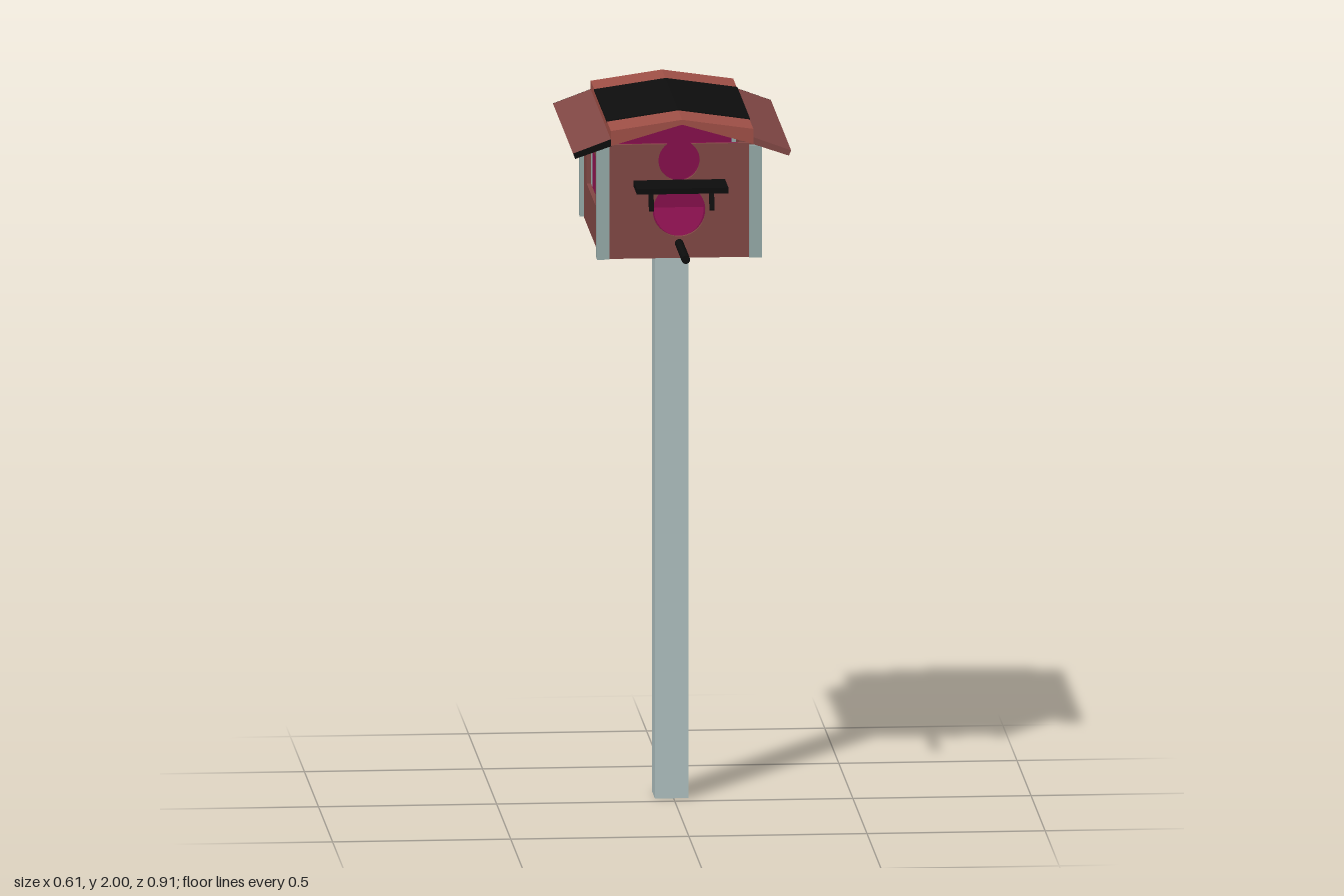
import * as THREE from 'three';

const paint = (name, color) => {
  const m = new THREE.MeshStandardMaterial({ color });
  m.name = name;
  return m;
};

export function createModel() {
  const wallBrown = paint('wall brown', 0x824845);
  const roofRed = paint('roof red', 0xa05047);
  const magenta = paint('interior magenta', 0x86104c);
  const black = paint('black', 0x0d0d0d);
  const postGrey = paint('post grey', 0xafc1c0);
  const trimGrey = paint('trim grey', 0x97aba9);

  const model = new THREE.Group();
  const add = (parent, name, geo, mat, x = 0, y = 0, z = 0) => {
    const mesh = new THREE.Mesh(geo, mat);
    mesh.name = name;
    mesh.position.set(x, y, z);
    parent.add(mesh);
    return mesh;
  };
  const box = (w, h, d) => new THREE.BoxGeometry(w, h, d);
  const polygon = (pts) => new THREE.Shape(pts.map(([x, y]) => new THREE.Vector2(x, y)));
  const extrude = (shape, depth) =>
    new THREE.ExtrudeGeometry(shape, { depth, bevelEnabled: false, curveSegments: 20 });

  const house = new THREE.Group();
  house.name = 'house';
  house.position.x = -0.005;
  model.add(house);

  const bottom = 1.595, top = 1.92, front = 0.22, back = -0.41, side = 0.22;
  const midZ = (front + back) / 2, length = front - back, height = top - bottom;

  // Pole
  add(house, 'pole', box(0.095, bottom, 0.1), postGrey, 0, bottom / 2, -0.092);

  // Floor with its inner lining
  add(house, 'floor', box(side * 2, 0.015, length), wallBrown, 0, bottom + 0.0075, midZ);
  add(house, 'floorLining', box(side * 2 - 0.03, 0.006, length - 0.03), magenta, 0, bottom + 0.018, midZ);

  // Front wall: round entrance and a round notch open at the top
  const frontShape = () => {
    const s = new THREE.Shape();
    const r = 0.058, cy = 1.873, a = Math.asin((top - cy) / r);
    s.moveTo(-side, bottom);
    s.lineTo(side, bottom);
    s.lineTo(side, top);
    s.lineTo(r * Math.cos(a), top);
    s.absarc(0, cy, r, a, Math.PI - a, true);
    s.lineTo(-side, top);
    s.closePath();
    const hole = new THREE.Path();
    hole.absarc(0, 1.73, 0.074, 0, Math.PI * 2, true);
    s.holes.push(hole);
    return s;
  };
  add(house, 'frontWall', extrude(frontShape(), 0.012), wallBrown, 0, 0, front - 0.012);
  const frontLining = add(house, 'frontLining', extrude(frontShape(), 0.005), magenta, 0, 0, front - 0.017);
  frontLining.scale.x = 0.94;

  // Back wall
  add(house, 'backWall', box(side * 2, height, 0.012), wallBrown, 0, bottom + height / 2, back + 0.006);
  add(house, 'backLining', box(side * 2 - 0.03, height - 0.002, 0.005), magenta, 0, bottom + height / 2, back + 0.0145);

  // Side walls with rectangular windows
  const winFront = 0.03, winBack = -0.28, sill = 1.71, head = 1.85;
  const sideShape = polygon([[back, bottom], [front, bottom], [front, top], [back, top]]);
  sideShape.holes.push(new THREE.Path([
    [winBack, sill], [winBack, head], [winFront, head], [winFront, sill],
  ].map(([x, y]) => new THREE.Vector2(x, y))));
  const sideGeo = extrude(sideShape, 0.012).rotateY(-Math.PI / 2);
  for (const s of [-1, 1]) {
    add(house, 'sideWall', sideGeo, wallBrown, s > 0 ? side : -side + 0.012, 0, 0);
    add(house, 'windowJamb', box(0.014, head - sill, 0.005), magenta, s * (side - 0.007), (sill + head) / 2, winFront);
    // Corner trims
    for (const z of [front - 0.0075, back + 0.0075]) {
      add(house, 'cornerTrim', box(0.035, height - 0.005, 0.035), trimGrey, s * 0.2135, bottom + height / 2 - 0.0025, z);
    }
  }

  // Roof: shallow gable cap in the middle
  const roofFront = 0.26, roofBack = -0.457, roofLen = roofFront - roofBack;
  const roof = new THREE.Group();
  roof.name = 'roof';
  model.add(roof);
  const cap = polygon([[-0.2, 1.925], [0, 1.983], [0.2, 1.925], [0.2, 1.968], [0, 1.997], [-0.2, 1.968]]);
  add(roof, 'roofCap', extrude(cap, roofLen), roofRed, 0, 0, roofBack);

  // Dark panel lying on the cap
  const panel = polygon([[-0.201, 1.966], [0, 1.995], [0.201, 1.966], [0.201, 1.971], [0, 2], [-0.201, 1.971]]);
  add(roof, 'roofPanel', extrude(panel, 0.447), black, 0, 0, -0.322);

  // Steeper eaves, three of their ends capped in black
  for (const s of [-1, 1]) {
    const pts = [[0.198, 1.925], [0.3, 1.89], [0.306, 1.905], [0.198, 1.945]].map(([x, y]) => [s * x, y]);
    const eave = polygon(pts);
    add(roof, 'eave', extrude(eave, roofLen - 0.004), wallBrown, 0, 0, roofBack + 0.002);
    add(roof, 'eaveBackEnd', extrude(eave, 0.002), black, 0, 0, roofBack);
    add(roof, 'eaveFrontEnd', extrude(eave, 0.002), s < 0 ? black : wallBrown, 0, 0, roofFront - 0.002);
  }

  // Shelf over the entrance, with slanted struts
  add(house, 'shelf', box(0.257, 0.016, 0.125), black, 0, 1.81, 0.2805);
  for (const x of [-0.085, 0.085]) {
    const strut = add(house, 'shelfStrut', box(0.014, 0.062, 0.01), black, x, 1.777, 0.299);
    strut.rotation.x = -0.47;
  }

  // Perch
  const perch = new THREE.CylinderGeometry(0.012, 0.012, 0.25, 16).rotateX(Math.PI / 2);
  add(house, 'perch', perch, black, 0, 1.637, 0.332);

  return model;
}
